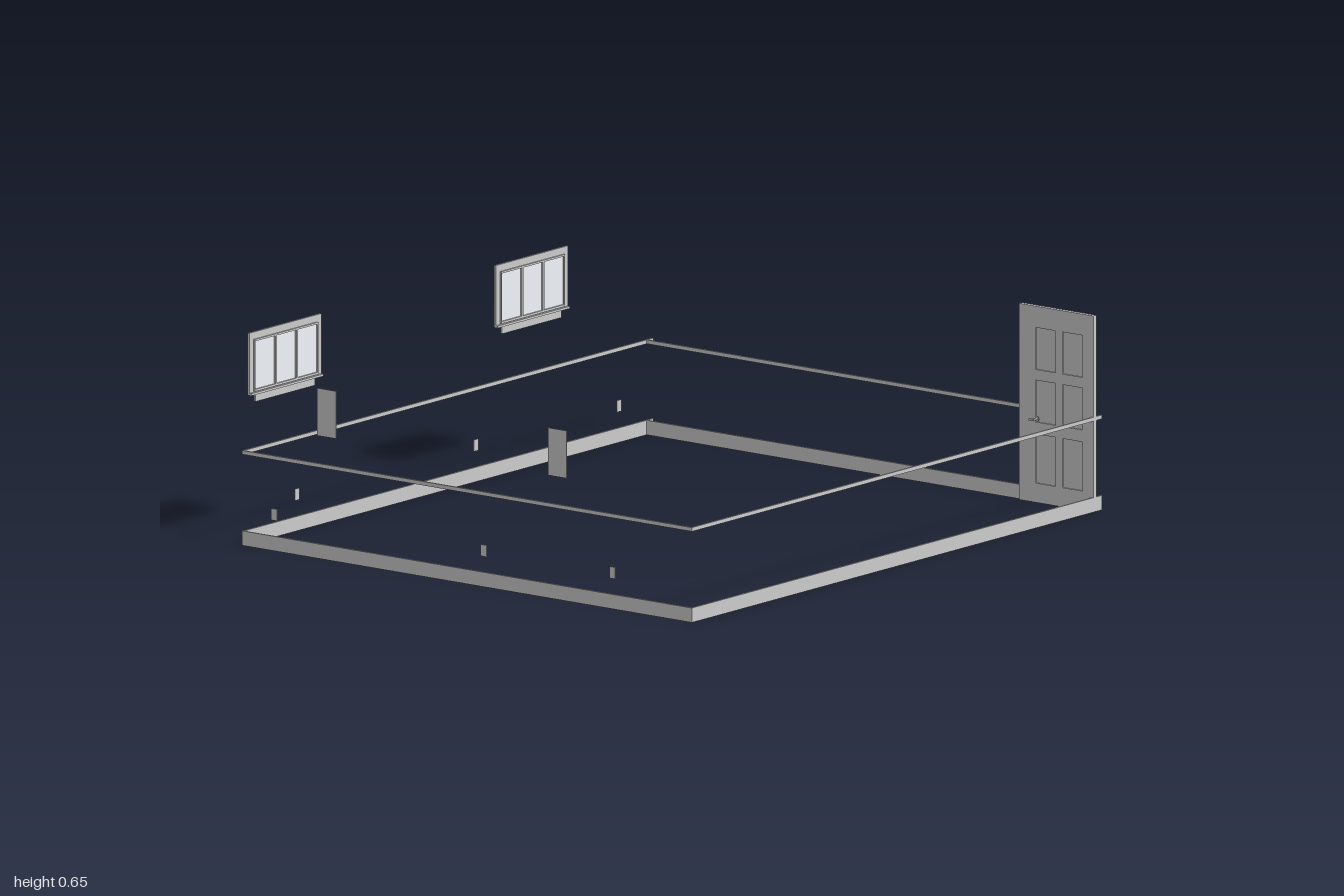
import * as THREE from 'three';

const grey = new THREE.MeshStandardMaterial({ color: 0xcccccc });
const paneMaterial = new THREE.MeshStandardMaterial({ color: 0xf0f5f9 });

const LEFT = -0.867, RIGHT = 0.867, FRONT = 1, BACK = -0.972;
const DOOR_EDGE = 0.58;

// Box given by its limits on each axis
function box(name, x0, x1, y0, y1, z0, z1, material = grey) {
  const mesh = new THREE.Mesh(new THREE.BoxGeometry(x1 - x0, y1 - y0, z1 - z0), material);
  mesh.name = name;
  mesh.position.set((x0 + x1) / 2, (y0 + y1) / 2, (z0 + z1) / 2);
  return mesh;
}

function rectangle(target, x0, x1, y0, y1) {
  target.moveTo(x0, y0);
  target.lineTo(x1, y0);
  target.lineTo(x1, y1);
  target.lineTo(x0, y1);
  target.closePath();
  return target;
}

// Flat board in the xy plane with rectangular openings
function boardWithOpenings(name, outline, openings, depth) {
  const shape = rectangle(new THREE.Shape(), ...outline);
  for (const o of openings) shape.holes.push(rectangle(new THREE.Path(), ...o));
  const geometry = new THREE.ExtrudeGeometry(shape, { depth, bevelEnabled: false });
  const mesh = new THREE.Mesh(geometry, grey);
  mesh.name = name;
  return mesh;
}

// A strip of trim running round all four walls, stopping at the door
function wallTrim(name, y0, y1, t) {
  const group = new THREE.Group();
  group.name = name;
  group.add(
    box(name + 'Left', LEFT, LEFT + t, y0, y1, -1, 1),
    box(name + 'Right', RIGHT - t, RIGHT, y0, y1, -1, 1),
    box(name + 'Front', LEFT, RIGHT, y0, y1, FRONT - t, FRONT),
    box(name + 'Back', LEFT, DOOR_EDGE, y0, y1, BACK, BACK + t)
  );
  return group;
}

// Window built facing +z, then turned to face +x
function makeWindow(z) {
  const win = new THREE.Group();
  win.name = 'window';
  const trim = boardWithOpenings('windowTrim', [-0.176, 0.176, 0.463, 0.653],
    [[-0.155, 0.155, 0.473, 0.63]], 0.007);
  // Sash with three lights
  const lights = [-1, 0, 1].map(i => [i * 0.103 - 0.048, i * 0.103 + 0.048, 0.476, 0.625]);
  const sash = boardWithOpenings('windowSash', [-0.155, 0.155, 0.469, 0.631], lights, 0.009);
  sash.position.z = 0.003;
  win.add(trim, sash);
  win.add(box('windowPane', -0.153, 0.153, 0.471, 0.629, 0.005, 0.007, paneMaterial));
  win.add(box('windowBacking', -0.155, 0.155, 0.47, 0.63, 0.0025, 0.0045));
  win.add(box('windowSill', -0.176, 0.176, 0.46, 0.467, 0, 0.015));
  win.add(box('windowApron', -0.145, 0.145, 0.436, 0.46, 0, 0.007));
  win.rotation.y = Math.PI / 2;
  win.position.set(LEFT, 0, z);
  return win;
}

function makeDoor() {
  const door = new THREE.Group();
  door.name = 'door';
  const openings = [];
  for (const [x0, x1] of [[0.645, 0.722], [0.748, 0.825]]) {
    for (const [y0, y1] of [[0.06, 0.212], [0.249, 0.379], [0.412, 0.542]]) {
      openings.push([x0, x1, y0, y1]);
    }
  }
  const face = boardWithOpenings('doorFace', [DOOR_EDGE, RIGHT, 0, 0.608], openings, 0.005);
  face.position.z = BACK + 0.01;
  door.add(box('doorSlab', DOOR_EDGE, RIGHT, 0, 0.608, BACK, BACK + 0.01), face);

  // Lever handle: rose, stem and grip
  const z = BACK + 0.015;
  for (const [name, radius, length, start] of [['handleRose', 0.008, 0.003, 0], ['handleStem', 0.003, 0.022, 0]]) {
    const part = new THREE.Mesh(new THREE.CylinderGeometry(radius, radius, length, 16), grey);
    part.name = name;
    part.rotation.x = Math.PI / 2;
    part.position.set(0.651, 0.26, z + start + length / 2);
    door.add(part);
  }
  door.add(box('handleGrip', 0.636, 0.655, 0.257, 0.263, z + 0.017, z + 0.023));
  return door;
}

export function createModel() {
  const model = new THREE.Group();
  model.name = 'roomFittings';
  model.add(wallTrim('baseboard', 0, 0.045, 0.006));
  model.add(wallTrim('chairRail', 0.282, 0.294, 0.006));
  model.add(makeDoor());
  for (const z of [0.797, -0.405]) model.add(makeWindow(z));

  // Socket plates on the left and front walls
  const t = 0.003;
  for (const z of [0.733, -0.138, -0.837]) {
    model.add(box('socketPlate', LEFT, LEFT + t, 0.094, 0.13, z - 0.011, z + 0.011));
  }
  for (const x of [-0.743, 0.064, 0.56]) {
    model.add(box('socketPlate', x - 0.011, x + 0.011, 0.094, 0.13, FRONT - t, FRONT));
  }
  // Wall panels on the front wall
  for (const x of [-0.541, 0.348]) {
    model.add(box('wallPanel', x - 0.036, x + 0.036, 0.38, 0.527, FRONT - t, FRONT));
  }
  return model;
}
